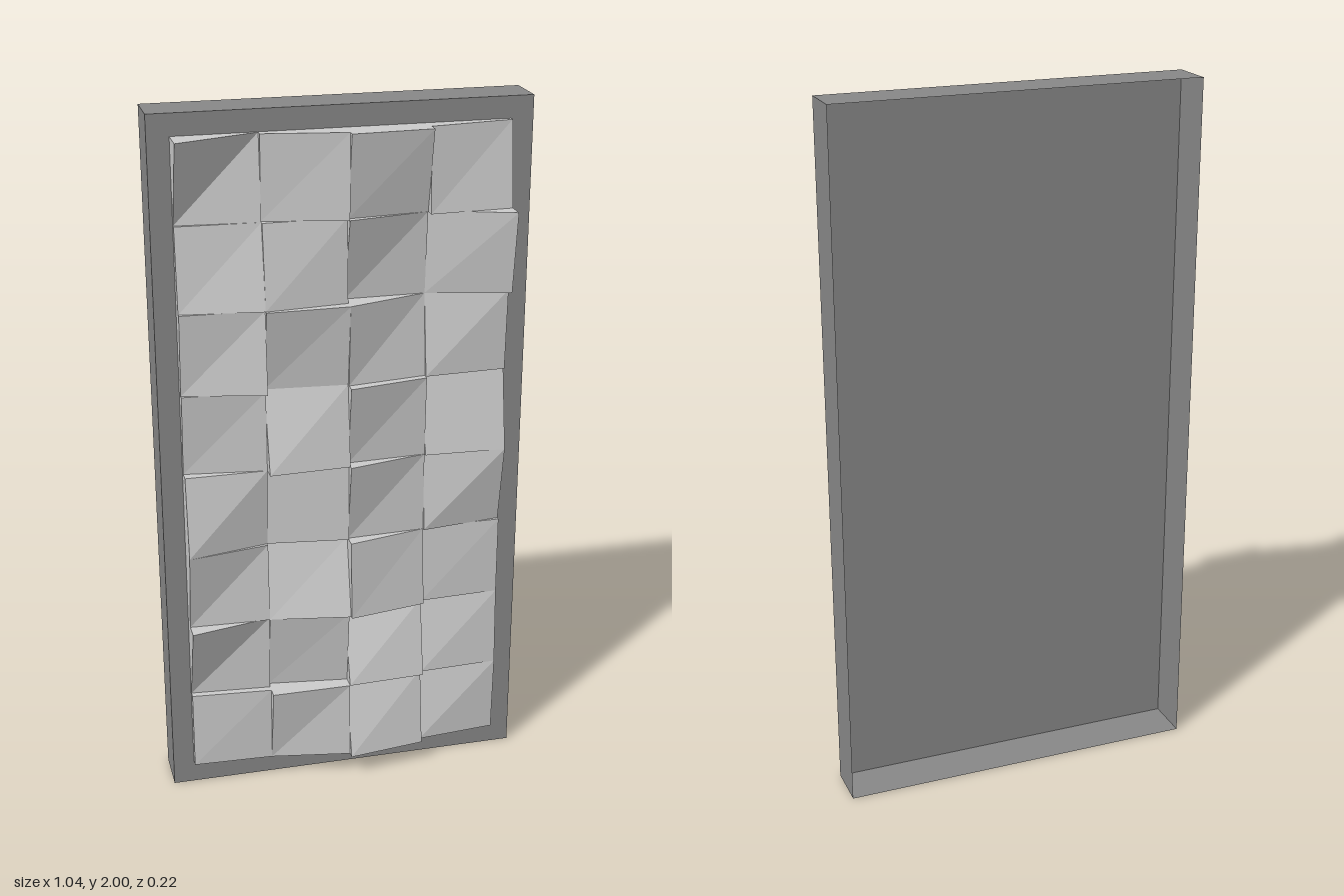
import * as THREE from 'three';

const FRONT = 0.015, BACK = -0.115;
const X = [-0.46, -0.23, 0, 0.225, 0.457]; // column edges
const TOP = 1.94, ROW = 0.2337;

// Corner heights of each block in hundredths: top left, top right, bottom right, bottom left
const HEIGHTS = [
  [[10, 2, 4, 2], [4, 8, 8, 3], [10, 9, 4, 6], [6, 3, 6, 7]],
  [[3, 4, 8, 5], [5, 5, 6, 8], [8, 4, 2, 2], [3, 11, 8, 2]],
  [[6, 7, 9, 4], [9, 9, 6, 4], [9, 2, 4, 7], [2, 5, 4, 5]],
  [[5, 6, 6, 3], [4, 6, 9, 10], [10, 6, 5, 6], [2, 3, 7, 6]],
  [[6, 6, 4, 9], [4, 7, 7, 4], [10, 5, 5, 6], [4, 7, 3, 6]],
  [[9, 5, 6, 5], [2, 5, 10, 6], [10, 5, 7, 11], [4, 4, 4, 5]],
  [[10, 5, 4, 2], [6, 8, 5, 2], [2, 4, 8, 9], [2, 4, 5, 6]],
  [[4, 6, 5, 4], [9, 9, 9, 5], [5, 5, 8, 11], [3, 5, 4, 6]],
];

// Box whose four front corners are pulled to different heights
function blockGeometry(width, height, [tl, tr, br, bl]) {
  const geo = new THREE.BoxGeometry(width, height, 1);
  const p = geo.attributes.position;
  for (let i = 0; i < p.count; i++) {
    const right = p.getX(i) > 0, top = p.getY(i) > 0;
    const h = top ? (right ? tr : tl) : (right ? br : bl);
    p.setZ(i, p.getZ(i) > 0 ? h / 100 : FRONT + 0.001);
  }
  geo.computeVertexNormals();
  return geo;
}

export function createModel() {
  const model = new THREE.Group();
  model.name = 'acousticWallPanel';

  // Thin tray, open at the back
  const trayGeo = new THREE.BoxGeometry(1.04, 2, FRONT - BACK);
  trayGeo.setIndex(Array.from(trayGeo.index.array).slice(0, 30));
  trayGeo.clearGroups();
  const tray = new THREE.Mesh(trayGeo, new THREE.MeshStandardMaterial({
    color: 0x888888, flatShading: true, side: THREE.DoubleSide,
  }));
  tray.name = 'backingTray';
  tray.position.set(0, 1, (FRONT + BACK) / 2);
  model.add(tray);

  // Grid of tilted blocks
  const blocks = new THREE.Group();
  blocks.name = 'diffuserBlocks';
  const blockMat = new THREE.MeshStandardMaterial({ color: 0xcccccc, flatShading: true });
  HEIGHTS.forEach((row, r) => row.forEach((corners, c) => {
    const block = new THREE.Mesh(blockGeometry(X[c + 1] - X[c], ROW, corners), blockMat);
    block.name = `block_${r + 1}_${c + 1}`;
    block.position.set((X[c] + X[c + 1]) / 2, TOP - (r + 0.5) * ROW, 0);
    blocks.add(block);
  }));
  model.add(blocks);
  return model;
}
